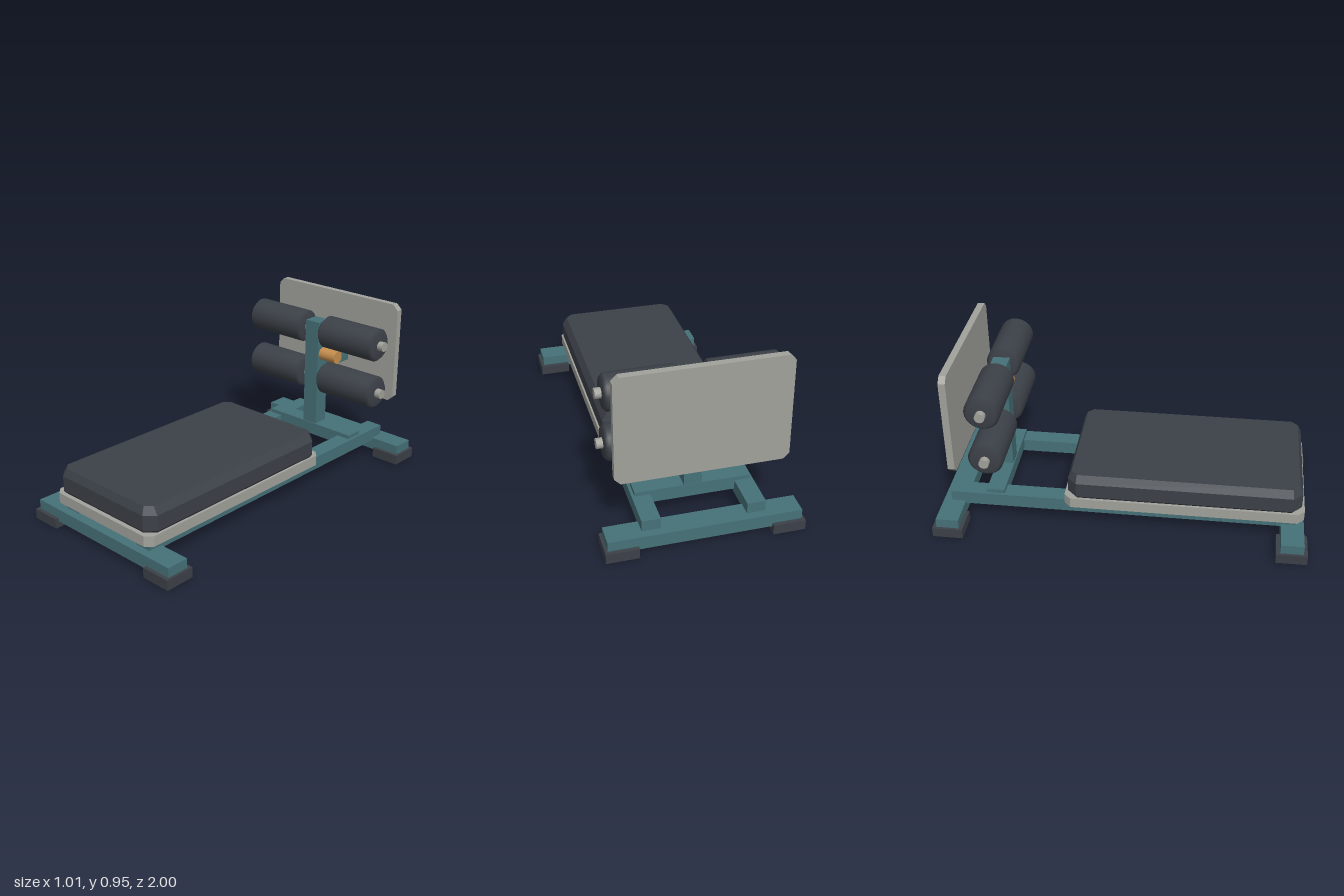
import * as THREE from 'three';

const material = (name, color) => new THREE.MeshStandardMaterial({ name, color });

export function createModel() {
  const root = new THREE.Group();
  root.name = 'exerciseBench';
  const teal = material('tealSteel', 0x467178);
  const dark = material('darkPadding', 0x3c4148);
  const grey = material('paleGrey', 0xa2a29c);
  const orange = material('orangeKnob', 0xc58e4e);

  const add = (name, geometry, mat) => {
    const mesh = new THREE.Mesh(geometry, mat);
    mesh.name = name;
    root.add(mesh);
    return mesh;
  };
  // Box given by its extents on each axis
  const box = (name, [x0, x1], [y0, y1], [z0, z1], mat) => {
    const mesh = add(name, new THREE.BoxGeometry(x1 - x0, y1 - y0, z1 - z0), mat);
    mesh.position.set((x0 + x1) / 2, (y0 + y1) / 2, (z0 + z1) / 2);
  };
  // Rectangle with cut corners, counter-clockwise
  const cutCorners = (hx, hy, cut) => [
    [hx, -hy + cut], [hx, hy - cut], [hx - cut, hy], [-hx + cut, hy],
    [-hx, hy - cut], [-hx, -hy + cut], [-hx + cut, -hy], [hx - cut, -hy],
  ];
  // Stack of cut-corner sections [y, halfX, halfZ, cut], capped and faceted
  const loft = (sections) => {
    const rings = sections.map(([y, hx, hz, cut]) =>
      cutCorners(hx, hz, cut).map(([x, z]) => [x, y, -z]));
    const n = rings[0].length;
    const pos = [];
    const tri = (a, b, c) => pos.push(...a, ...b, ...c);
    for (let r = 0; r < rings.length - 1; r++) {
      for (let i = 0; i < n; i++) {
        const j = (i + 1) % n;
        const low = rings[r], high = rings[r + 1];
        tri(low[i], low[j], high[j]);
        tri(low[i], high[j], high[i]);
      }
    }
    const top = rings[rings.length - 1], bottom = rings[0];
    for (let i = 1; i < n - 1; i++) {
      tri(top[0], top[i], top[i + 1]);
      tri(bottom[0], bottom[i + 1], bottom[i]);
    }
    const g = new THREE.BufferGeometry();
    g.setAttribute('position', new THREE.Float32BufferAttribute(pos, 3));
    g.computeVertexNormals();
    return g;
  };

  // Base frame: cross bars, rubber feet, long rails
  for (const end of [1, -1]) {
    const label = end > 0 ? 'front' : 'back';
    const zc = end * 0.918;
    box(label + 'CrossBar', [-0.493, 0.493], [0.036, 0.107], [zc - 0.061, zc + 0.061], teal);
    for (const side of [1, -1]) {
      const xc = side * 0.423;
      box(label + (side > 0 ? 'LeftFoot' : 'RightFoot'),
        [xc - 0.084, xc + 0.084], [0, 0.055], [zc - 0.082, zc + 0.082], dark);
    }
  }
  for (const side of [1, -1]) {
    const xc = side * 0.267;
    box(side > 0 ? 'leftRail' : 'rightRail',
      [xc - 0.048, xc + 0.048], [0.092, 0.165], [-0.935, 0.935], teal);
  }

  // Upright post with its cross member and rear bracket
  box('postCrossMember', [-0.3, 0.3], [0.115, 0.187], [-0.738, -0.64], teal);
  box('post', [-0.047, 0.047], [0.15, 0.817], [-0.735, -0.645], teal);
  box('plateBracket', [-0.105, 0.105], [0.553, 0.605], [-0.861, -0.73], teal);

  // Foot plate
  const plateShape = new THREE.Shape(
    cutCorners(0.435, 0.289, 0.031).map(([x, y]) => new THREE.Vector2(x, y)));
  add('footPlate', new THREE.ExtrudeGeometry(plateShape, { depth: 0.037, bevelEnabled: false }), grey)
    .position.set(0, 0.664, -0.897);

  // Seat board and padded seat
  add('seatBoard', loft([[0.15, 0.358, 0.64, 0.036], [0.207, 0.358, 0.64, 0.036]]), grey)
    .position.z = 0.335;
  add('seatPad', loft([
    [0.206, 0.342, 0.614, 0.046],
    [0.22, 0.352, 0.623, 0.05],
    [0.302, 0.352, 0.623, 0.05],
    [0.343, 0.325, 0.604, 0.034],
  ]), dark).position.z = 0.336;

  // Foam rollers on axles
  const rollerProfile = [
    [0, -0.189], [0.076, -0.189], [0.093, -0.172],
    [0.093, 0.172], [0.076, 0.189], [0, 0.189],
  ].map(([r, y]) => new THREE.Vector2(r, y));
  const rollerGeometry = new THREE.LatheGeometry(rollerProfile, 24);
  for (const [level, y] of [['upper', 0.762], ['lower', 0.481]]) {
    const axle = add(level + 'Axle', new THREE.CylinderGeometry(0.027, 0.027, 0.956, 12), grey);
    axle.rotation.z = Math.PI / 2;
    axle.position.set(0, y, -0.69);
    for (const side of [1, -1]) {
      const roller = add(level + (side > 0 ? 'LeftRoller' : 'RightRoller'), rollerGeometry, dark);
      roller.rotation.z = Math.PI / 2;
      roller.position.set(side * 0.256, y, -0.69);
    }
  }

  // Adjustment knob on the side of the post
  const knob = add('adjustmentKnob', new THREE.CylinderGeometry(0.037, 0.037, 0.118, 20), orange);
  knob.rotation.z = Math.PI / 2;
  knob.position.set(0.099, 0.621, -0.69);

  return root;
}
